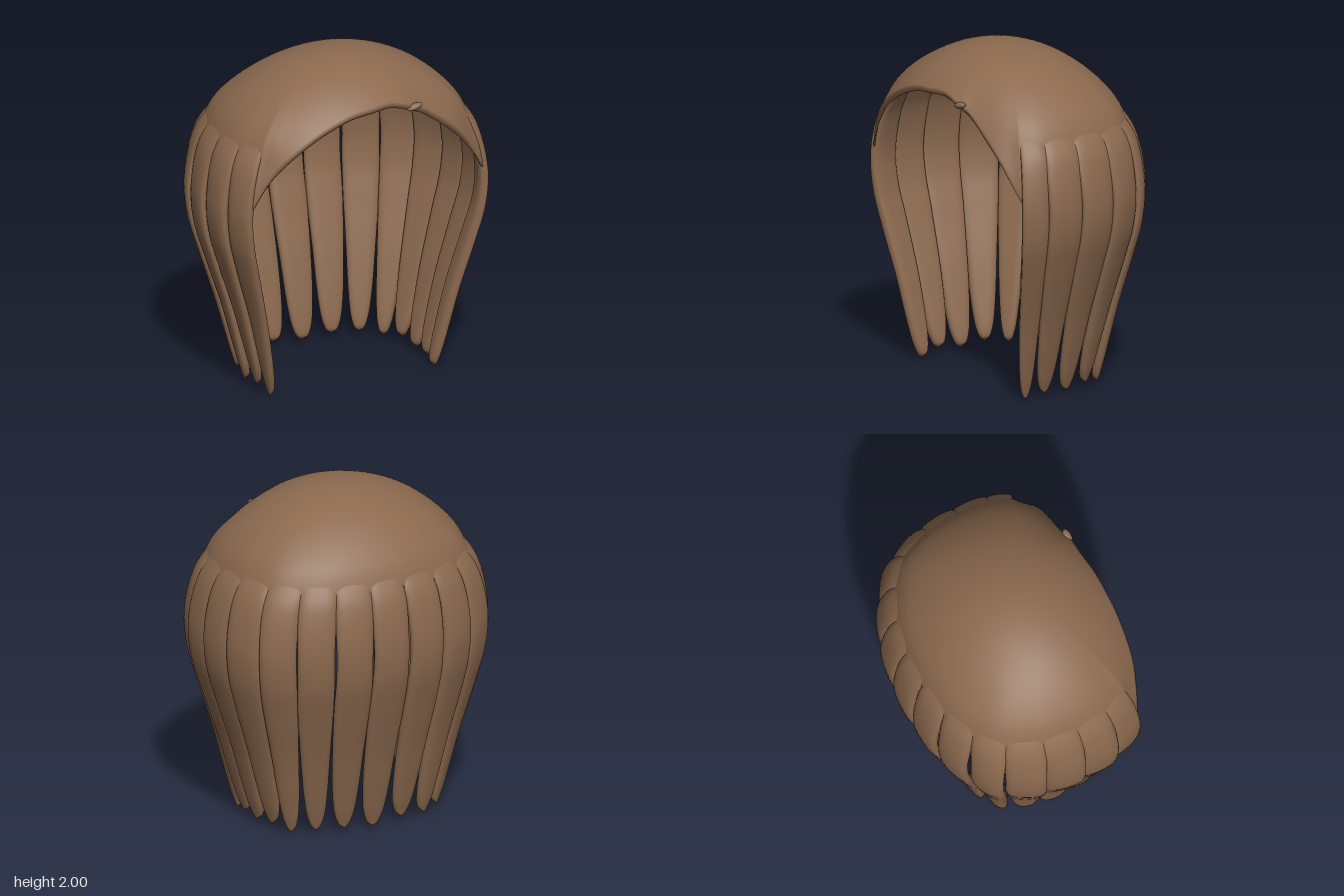
import * as THREE from 'three';

const V = (x, y, z) => new THREE.Vector3(x, y, z);
const { smoothstep: smooth, clamp, lerp } = THREE.MathUtils;
const CENTRE_Z = 0.12, DOME_Y = 1.2, DOME_H = 0.8, STRANDS = 15, BACK_U = 0.511;

// Plan outlines around the crown: x, height of the cap's edge there, z
const sideCurve = new THREE.CatmullRomCurve3([
  V(-0.76, 1.25, 0.43), V(-0.85, 1.42, 0.22), V(-0.875, 1.48, 0), V(-0.85, 1.5, -0.24),
  V(-0.74, 1.5, -0.49), V(-0.56, 1.52, -0.63), V(-0.34, 1.53, -0.72), V(0, 1.54, -0.76),
  V(0.34, 1.53, -0.72), V(0.56, 1.52, -0.63), V(0.74, 1.5, -0.49), V(0.85, 1.5, -0.24),
  V(0.875, 1.48, 0), V(0.86, 1.42, 0.2), V(0.8, 1.25, 0.36),
]);
const frontCurve = new THREE.CatmullRomCurve3([
  V(-0.76, 1.25, 0.43), V(-0.67, 1.46, 0.5), V(-0.48, 1.65, 0.62), V(-0.25, 1.75, 0.71),
  V(0, 1.78, 0.73), V(0.2, 1.785, 0.7), V(0.36, 1.745, 0.64), V(0.46, 1.7, 0.57),
  V(0.67, 1.5, 0.46), V(0.8, 1.25, 0.36),
]);

// Lock profile from crown to tip: outline scale, height, relative width
const lockProfile = new THREE.CatmullRomCurve3([
  V(0.55, 1.868, 0.6), V(0.72, 1.755, 1.05), V(0.86, 1.608, 1.1), V(0.95, 1.45, 1.03),
  V(1, 1.2, 0.94), V(0.98, 1, 0.96), V(0.912, 0.8, 0.98), V(0.8, 0.5, 0.92),
  V(0.73, 0.27, 0.84), V(0.685, 0.12, 0.7), V(0.655, 0.035, 0.45), V(0.64, 0, 0),
]);

// Plan point at scale s: an even ellipse near the crown, the full outline below
function planPoint(p, s) {
  const e = 1 / Math.hypot(p.x / 0.875, p.z / 0.75);
  const k = s * lerp(e, 1, smooth(s, 0.3, 0.97));
  return V(p.x * k, 0, p.z * k);
}

// Skin a list of closed rings, sharing vertices for smooth normals
function loft(rings) {
  const n = rings[0].length, index = [];
  for (let i = 0; i < rings.length - 1; i++) {
    for (let j = 0; j < n; j++) {
      const k = (j + 1) % n;
      const a = i * n + j, b = a + n, c = (i + 1) * n + k, d = i * n + k;
      index.push(a, b, c, a, c, d);
    }
  }
  const g = new THREE.BufferGeometry().setFromPoints(rings.flat());
  g.setIndex(index);
  g.computeVertexNormals();
  return g;
}

// Domed cap: outer skin to the hairline and back up inside; its edge thins
// and sinks into the locks wherever they hang from it
function capGeometry() {
  const columns = [];
  for (let i = 0; i < 80; i++) {
    const t = i / 80;
    columns.push({ p: frontCurve.getPointAt(t), tuck: 1 - smooth(Math.min(t, 1 - t), 0.03, 0.2) });
  }
  for (let i = 0; i < 140; i++) columns.push({ p: sideCurve.getPointAt(1 - i / 140), tuck: 1 });
  const ring = (t, inside) => columns.map(({ p, tuck }) => {
    const a = t * Math.acos((p.y - DOME_Y) / DOME_H);
    const y = DOME_H * Math.cos(a);
    const edge = tuck * (1 - smooth(DOME_Y + y, 1.48, 1.7));
    const depth = inside ? lerp(0.035 + 0.02 * tuck, 0.036, edge) : 0.026 * edge;
    const k = 1 - depth / 0.85;
    const q = planPoint(p, Math.sin(a));
    return V(q.x * k, DOME_Y + y * k, CENTRE_Z + q.z * k);
  });
  const rings = [], n = 28;
  for (let i = 0; i <= n; i++) rings.push(ring(i / n, false));
  for (let i = n; i >= 0; i--) rings.push(ring(i / n, true));
  return loft(rings);
}

// One flattened lock, hugging the outline and tapering to a rounded tip
function lockGeometry(i) {
  const v = (i + 0.5) / STRANDS;
  const mid = v < 0.5 ? v * 2 * BACK_U : BACK_U + (v - 0.5) * 2 * (1 - BACK_U);
  const side = clamp((v - 0.5) * 4, -1, 1);
  const overlap = 1 + 0.1 * smooth(Math.abs(side), 0.75, 1);
  const atEnd = i === 0 || i === STRANDS - 1;
  const tipLift = atEnd ? 0 : 0.025 + 0.012 * Math.sin(i * 2.4);
  const round = (c) => Math.sign(c) * Math.abs(c) ** 0.75;
  const rings = [], rows = 56, segs = 24;
  for (let r = 0; r <= rows; r++) {
    const q = lockProfile.getPoint(r / rows), slope = lockProfile.getTangent(r / rows);
    const s = q.x, width = Math.max(0, q.z);
    const y = q.y + tipLift * (1 - smooth(q.y, 0, 0.6));
    const thick = 0.035 * Math.sqrt(Math.min(1, width)) * (1 - 0.6 * smooth(q.y, 1.5, 1.75));
    const recess = 0.03 * smooth(q.y, 1.48, 1.78);
    const spread = Math.max(0, 1 - s) * 0.62 * (1 - smooth(q.y, 0.9, 1.2));
    const ring = [];
    for (let j = 0; j < segs; j++) {
      const f = (j / segs) * Math.PI * 2;
      const across = round(Math.cos(f));
      const u = clamp(mid + across * 0.5 / STRANDS * width * overlap, 0, 1);
      const p = sideCurve.getPointAt(u), tan = sideCurve.getTangentAt(u);
      const out = V(tan.z, 0, -tan.x).normalize().multiplyScalar(-slope.y);
      out.y = slope.x * 0.8;
      out.normalize();
      const tilt = 0.014 * side * across * width * (1 - smooth(q.y, 1.2, 1.6));
      const at = q.y > DOME_Y ? planPoint(p, s) : V(p.x * s, 0, p.z * s);
      const x = at.x * (1 + spread * (1 - (p.x / 0.88) ** 2));
      ring.push(V(x, y, CENTRE_Z + at.z)
        .addScaledVector(out, thick * (round(Math.sin(f)) - 1) - recess + tilt));
    }
    rings.push(ring);
  }
  return loft(rings);
}

export function createModel() {
  const model = new THREE.Group();
  model.name = 'bobbedHair';
  const brown = new THREE.MeshStandardMaterial({ color: 0x8b694e, side: THREE.DoubleSide });
  brown.name = 'brown hair';
  const add = (name, geometry) => {
    const mesh = new THREE.Mesh(geometry, brown);
    mesh.name = name;
    model.add(mesh);
    return mesh;
  };

  add('cap', capGeometry());

  // Locks run from the right front corner, round the back, to the left
  for (let i = 0; i < STRANDS; i++) add('lock' + (i + 1), lockGeometry(i));

  // Small tuck in the hairline at the parting
  const tuck = add('partingTuck', new THREE.SphereGeometry(1, 16, 10));
  tuck.scale.set(0.05, 0.02, 0.025);
  tuck.position.set(0.28, 1.745, 0.585);
  tuck.rotation.z = 0.25;

  return model;
}
